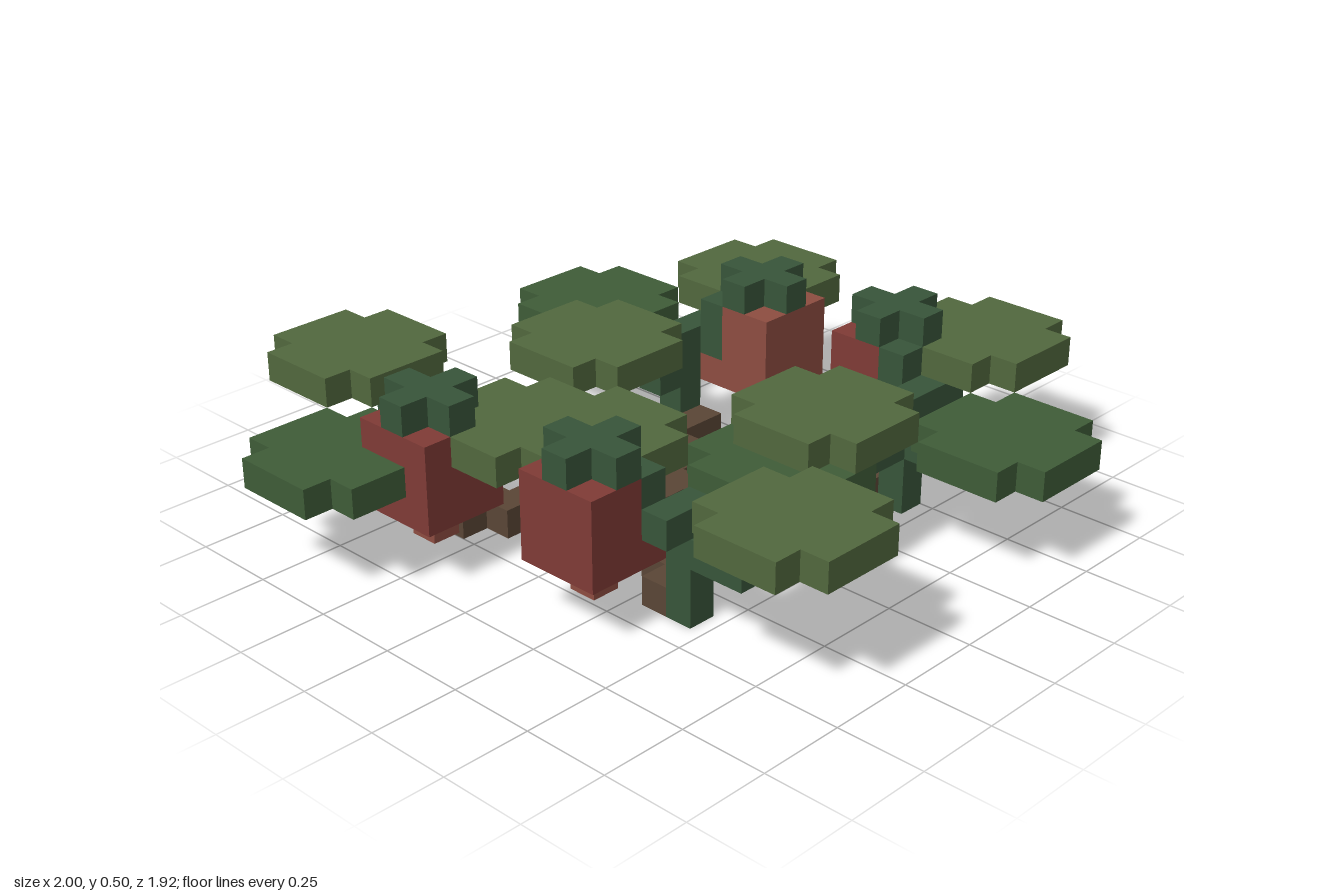
import * as THREE from 'three';
import { mergeGeometries } from 'three/addons/utils/BufferGeometryUtils.js';

// Voxel grid: 24 x 6 x 23 cells, addressed as (column i, layer j, row k)
const U = 1 / 12;
const COLORS = {
  branch: 0x5a4636, stem: 0x38553a, darkLeaf: 0x3f5c38, lightLeaf: 0x52683e,
  cap: 0x38553a, red: 0x803b36, rust: 0x8e4d41,
};

// One unit-cell face for each direction
const SIDES = [
  [1, 0, 0], [-1, 0, 0], [0, 1, 0], [0, -1, 0], [0, 0, 1], [0, 0, -1],
].map((d) => {
  const face = new THREE.PlaneGeometry(U, U);
  const dir = new THREE.Vector3(...d);
  face.applyQuaternion(new THREE.Quaternion().setFromUnitVectors(new THREE.Vector3(0, 0, 1), dir));
  face.translate(d[0] * U / 2, d[1] * U / 2, d[2] * U / 2);
  return { d, face };
});

export function createModel() {
  const cells = new Map();
  const parts = [];
  const key = (i, j, k) => `${i},${j},${k}`;
  const addPart = (name, color) => {
    const part = { name, color: COLORS[color] };
    parts.push(part);
    return part;
  };
  const put = (part, i, j, k) => cells.set(key(i, j, k), { part, i, j, k });

  // Square slab of cells, optionally with its corners cut off
  const slab = (part, i0, j, k0, n, cut) => {
    for (let a = 0; a < n; a++) {
      for (let b = 0; b < n; b++) {
        const corner = (a === 0 || a === n - 1) && (b === 0 || b === n - 1);
        if (!(cut && corner)) put(part, i0 + a, j, k0 + b);
      }
    }
  };

  // Stepped ground branches crossing at the middle
  const branches = addPart('groundBranches', 'branch');
  [
    [[6, 7], [7, 7], [7, 8], [8, 8], [8, 9], [9, 9], [9, 10], [10, 10], [10, 11], [11, 11], [12, 11]],
    [[12, 10], [13, 10], [13, 9], [14, 9], [14, 8], [15, 8], [16, 8]],
    [[10, 12], [9, 12], [9, 13], [9, 14], [8, 14], [8, 15], [7, 15]],
    [[12, 12], [13, 12], [13, 13], [14, 13], [15, 13], [15, 14], [16, 14], [16, 15], [17, 15]],
  ].forEach((path) => path.forEach(([i, k]) => put(branches, i, 0, k)));

  // Red fruits: a cube with a small tip below and a leafy cross cap on top
  [[3, 7, 'red'], [4, 13, 'red'], [17, 8, 'rust'], [18, 13, 'red']].forEach(([i, k, color]) => {
    const fruit = addPart('fruit', color);
    for (let j = 2; j <= 4; j++) slab(fruit, i, j, k, 3, false);
    put(addPart('fruitTip', 'rust'), i + 1, 1, k + 1);
    slab(addPart('fruitCap', 'cap'), i, 5, k, 3, true);
  });

  // Upright stems with side twigs, each twig cell as [di, layer, dk] from the stem
  [
    { at: [6, 6], twigs: [[0, 2, -1], [0, 3, -1], [0, 3, -2], [-1, 2, 0], [-2, 2, 0], [-1, 3, 1], [-1, 4, 1]] },
    { at: [16, 7], twigs: [[0, 2, -1], [0, 2, -2], [-1, 2, 0], [-1, 3, 0], [-2, 3, 0], [1, 3, 0], [2, 3, 0], [1, 3, 1], [1, 4, 1]] },
    { at: [7, 16], twigs: [[0, 2, 1], [0, 2, 2], [0, 3, 2], [1, 2, 0], [2, 2, 0], [-1, 3, 0], [-1, 3, -1], [-1, 4, -1]] },
    { at: [17, 16], twigs: [[0, 2, 1], [0, 2, 2], [-1, 2, 0], [-2, 2, 0], [-2, 3, 0], [1, 3, 0], [2, 3, 0], [1, 3, -1], [1, 4, -1]] },
  ].forEach(({ at: [i, k], twigs }) => {
    const stem = addPart('stem', 'stem');
    for (let j = 0; j <= 3; j++) put(stem, i, j, k);
    twigs.forEach(([di, j, dk]) => put(stem, i + di, j, k + dk));
  });

  // Flat leaf pads: dark ones one layer below the light ones
  [[0, 4], [14, 1], [9, 14], [15, 18]].forEach(([i, k]) =>
    slab(addPart('darkLeafPad', 'darkLeaf'), i, 3, k, 5, true));
  [[4, 0], [10, 5], [18, 5], [4, 8], [5, 10], [11, 14], [19, 14], [5, 18]].forEach(([i, k]) =>
    slab(addPart('lightLeafPad', 'lightLeaf'), i, 4, k, 5, true));

  // Exposed cell faces of each part become one mesh
  const faces = new Map(parts.map((p) => [p, []]));
  for (const { part, i, j, k } of cells.values()) {
    for (const { d, face } of SIDES) {
      if (cells.has(key(i + d[0], j + d[1], k + d[2]))) continue;
      faces.get(part).push(face.clone().translate((i - 11.5) * U, (j + 0.5) * U, (k - 11) * U));
    }
  }
  const group = new THREE.Group();
  group.name = 'voxelPlant';
  for (const [part, list] of faces) {
    if (!list.length) continue;
    const mesh = new THREE.Mesh(mergeGeometries(list), new THREE.MeshStandardMaterial({ color: part.color }));
    mesh.name = part.name;
    group.add(mesh);
  }
  return group;
}
